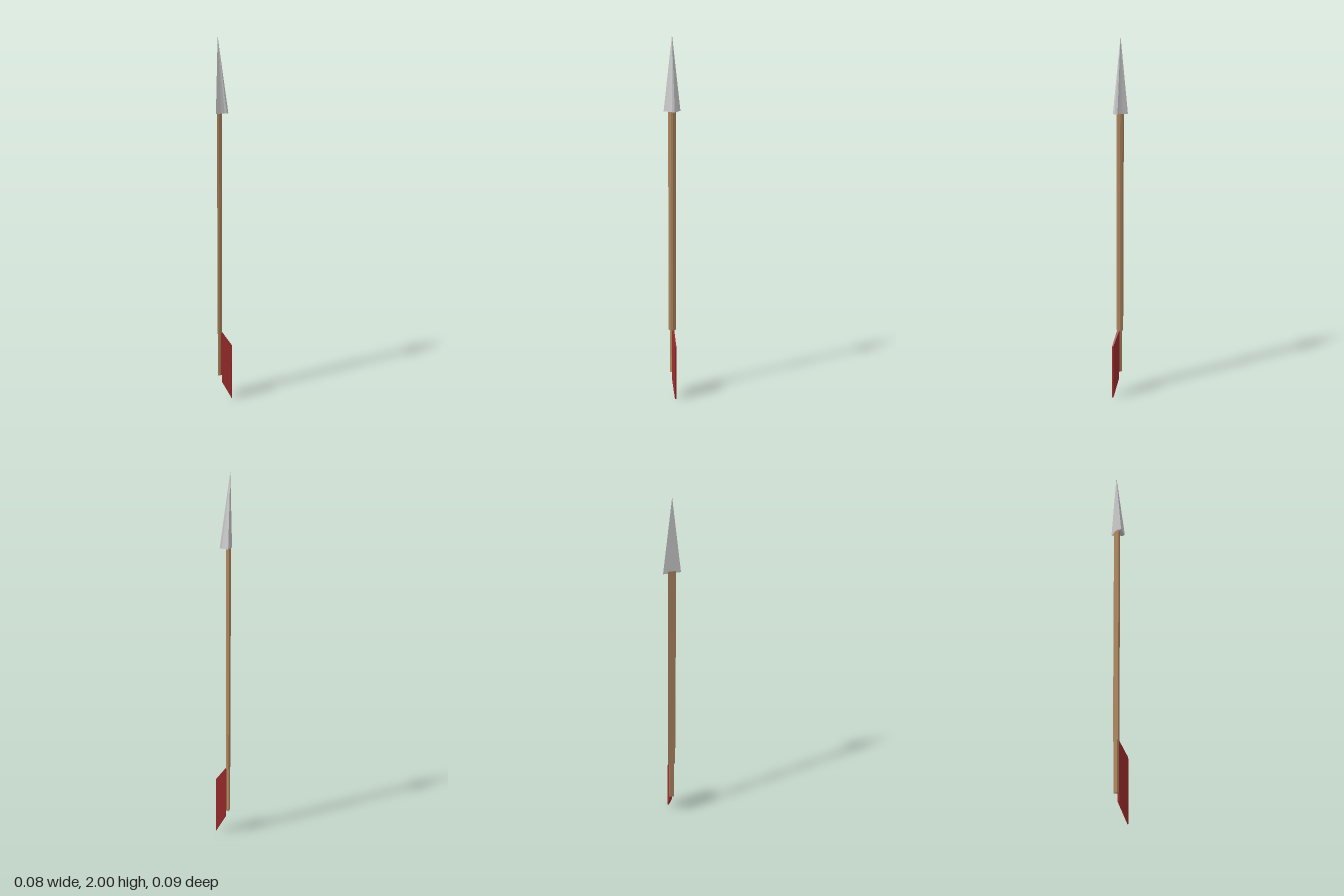
import * as THREE from 'three';

const BACK = -0.039; // plane of the flat back

function part(name, geometry, color) {
  geometry.computeVertexNormals();
  const mesh = new THREE.Mesh(geometry, new THREE.MeshStandardMaterial({ color, flatShading: true }));
  mesh.name = name;
  return mesh;
}

// Moves every vertex by a rule
function reshape(geometry, rule) {
  const pos = geometry.attributes.position;
  const v = new THREE.Vector3();
  for (let i = 0; i < pos.count; i++) {
    rule(v.fromBufferAttribute(pos, i));
    pos.setXYZ(i, v.x, v.y, v.z);
  }
  return geometry;
}

// Upright prism from half a cross-section [x, z], mirrored across z
function prism(half, y0, y1) {
  const mirrored = half.filter(p => p[1] > 0).reverse().map(([x, z]) => [x, -z]);
  const shape = new THREE.Shape([...half, ...mirrored].map(([x, z]) => new THREE.Vector2(x, z)));
  const geometry = new THREE.ExtrudeGeometry(shape, { depth: y1 - y0, bevelEnabled: false });
  return geometry.rotateX(-Math.PI / 2).translate(0, y0, 0);
}

// Half of a faceted round section, flat on the back plane
function halfRound(rx, rz) {
  return [90, 60, 30, 0].map(deg => {
    const a = THREE.MathUtils.degToRad(deg);
    return [BACK + rx * Math.cos(a), deg === 0 ? 0 : rz * Math.sin(a)];
  });
}

export function createModel() {
  const group = new THREE.Group();
  group.name = 'halfArrow';
  const wood = 0xb08860;

  // Shaft with a thinner tail
  group.add(part('shaft', prism(halfRound(0.021, 0.021), 0.4, 1.63), wood));
  group.add(part('shaftTail', prism(halfRound(0.019, 0.014), 0.14, 0.4), wood));

  // Ridged head, drawn up to a point on the back plane
  const headHalf = [[BACK, 0.045], [-0.016, 0.026], [0, 0.016], [0.011, 0.014], [0.016, 0]];
  const head = reshape(prism(headHalf, 1.62, 2), v => {
    if (v.y > 1.8) { v.x = BACK; v.z = 0; }
  });
  group.add(part('arrowhead', head, 0xcccccc));

  // Slanted feather, thinning toward its outer edge
  const outline = [[-0.026, 0.14], [-0.019, 0.14], [-0.019, 0.1], [0.038, 0], [0.038, 0.325], [-0.019, 0.4], [-0.026, 0.4]];
  const feather = new THREE.ExtrudeGeometry(
    new THREE.Shape(outline.map(([x, y]) => new THREE.Vector2(x, y))),
    { depth: 1, bevelEnabled: false });
  reshape(feather, v => {
    const t = (v.x + 0.026) / 0.064;
    v.z = (v.z - 0.5) * 2 * THREE.MathUtils.lerp(0.007, 0.004, t);
  });
  group.add(part('feather', feather, 0x9c2c2c));

  return group;
}
